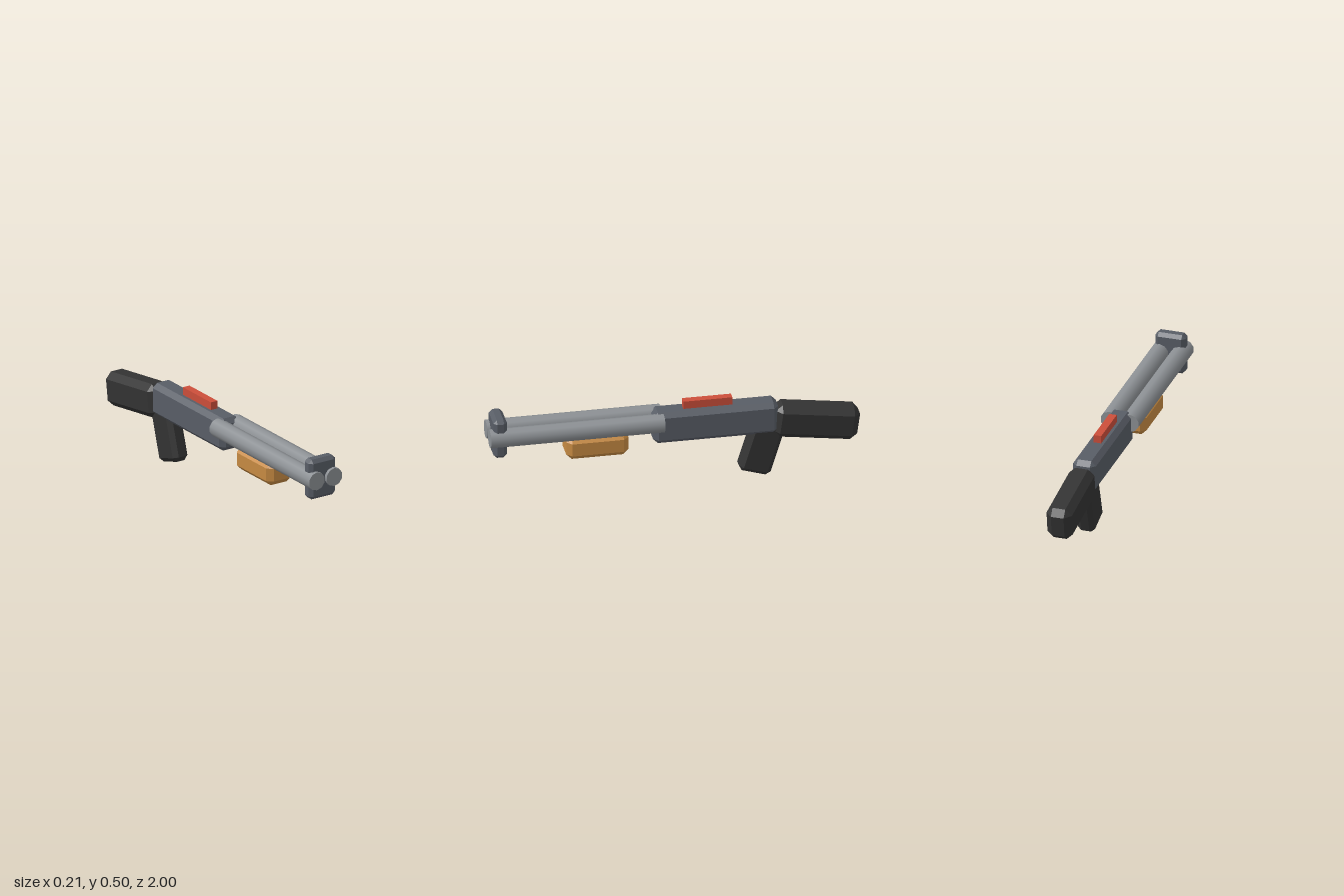
import * as THREE from 'three';
import { ConvexGeometry } from 'three/addons/geometries/ConvexGeometry.js';

const material = (name, color) => {
  const m = new THREE.MeshStandardMaterial({ color });
  m.name = name;
  return m;
};

// Box with every edge cut at 45 degrees and a triangle at each corner
function chamferBox(w, h, d, c) {
  const points = [];
  for (const sx of [-1, 1]) for (const sy of [-1, 1]) for (const sz of [-1, 1]) {
    const x = w / 2, y = h / 2, z = d / 2;
    points.push(
      new THREE.Vector3(sx * x, sy * (y - c), sz * (z - c)),
      new THREE.Vector3(sx * (x - c), sy * y, sz * (z - c)),
      new THREE.Vector3(sx * (x - c), sy * (y - c), sz * z));
  }
  return new ConvexGeometry(points);
}

export function createModel() {
  const group = new THREE.Group();
  const steel = material('barrel steel', 0x8c9094);
  const gunmetal = material('dark gunmetal', 0x585d66);
  const black = material('black polymer', 0x333333);
  const wood = material('orange wood', 0xc68a42);
  const red = material('red', 0xcc4e3a);

  const add = (name, geometry, mat, y, z, x = 0, tilt = 0) => {
    const mesh = new THREE.Mesh(geometry, mat);
    mesh.name = name;
    mesh.position.set(x, y, z);
    mesh.rotation.x = tilt;
    group.add(mesh);
  };

  // Twin barrels, ten-sided with smooth walls
  const barrel = new THREE.CylinderGeometry(0.051, 0.051, 0.94, 10).rotateX(Math.PI / 2);
  add('leftBarrel', barrel, steel, 0.383, 0.53, 0.056);
  add('rightBarrel', barrel, steel, 0.383, 0.53, -0.056);

  // Clamp around the muzzles and the fore-end below
  add('muzzleClamp', chamferBox(0.169, 0.225, 0.073, 0.019), gunmetal, 0.383, 0.945);
  add('foreEnd', chamferBox(0.16, 0.13, 0.335, 0.029), wood, 0.28, 0.418);

  // Receiver with the rail on top
  add('receiver', chamferBox(0.127, 0.182, 0.675, 0.026), gunmetal, 0.346, -0.223);
  add('topRail', new THREE.BoxGeometry(0.042, 0.05, 0.265), red, 0.455, -0.184);

  // Slanted stock and grip
  add('stock', chamferBox(0.141, 0.187, 0.46, 0.035), black, 0.292, -0.767, 0, -0.14);
  add('grip', chamferBox(0.094, 0.3, 0.18, 0.024), black, 0.162, -0.474, 0, -0.3);

  return group;
}
